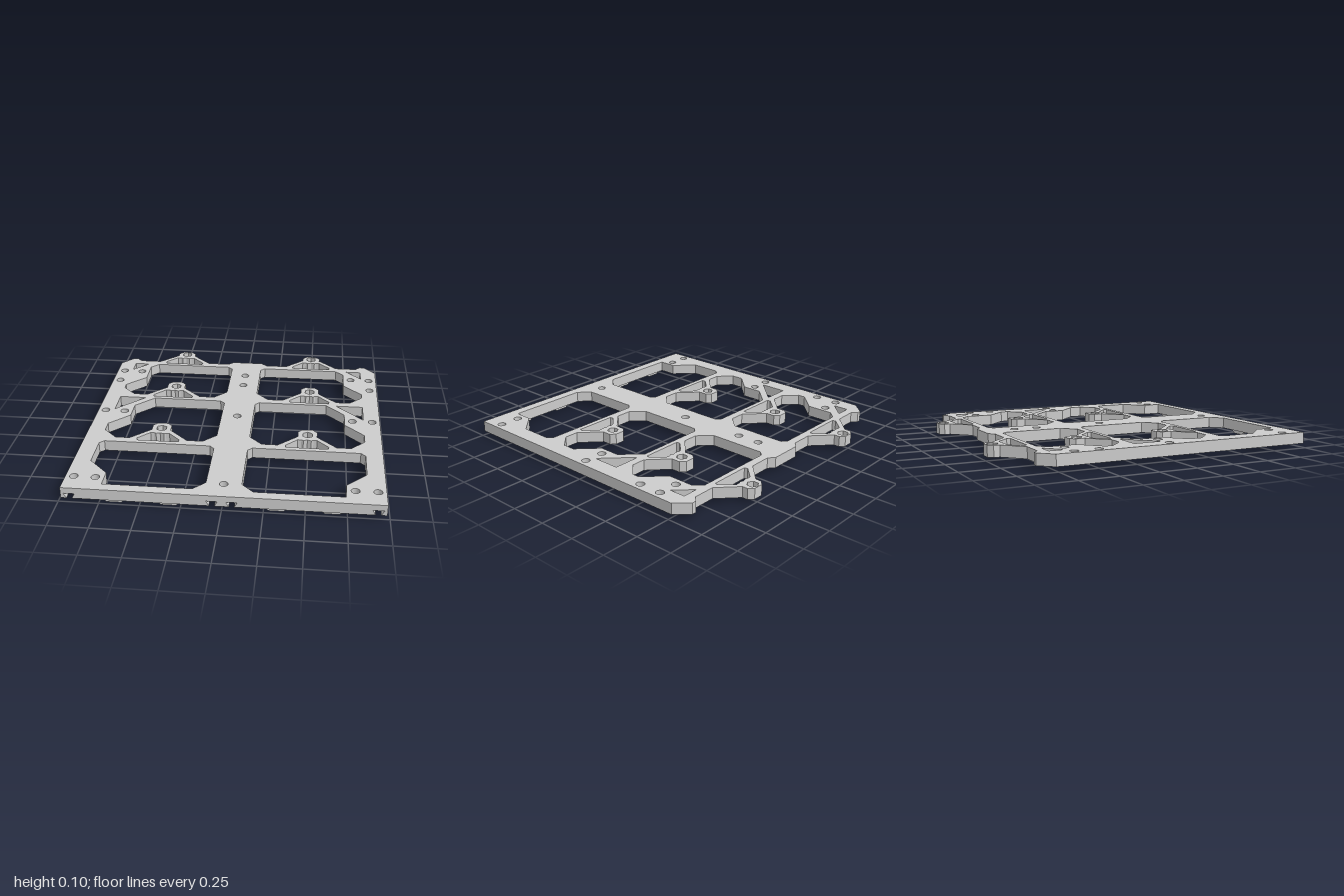
import * as THREE from 'three';

const material = new THREE.MeshStandardMaterial({ color: 0xcccccc, flatShading: true });
const Y0 = 0.027, Y1 = 0.06, Y2 = 0.1; // underside, groove roof, top
const BOSS_X = 0.493;
const BOSS_Z = [-0.957, -0.398, 0.228];
const ROW_Z = [-0.622, -0.463, 0.012, 0.865]; // screw rows
const PAD_Z = [-0.622, 0.012, 0.865];
const GROOVE_END = -0.72;

const mirror = pts => pts.map(([x, z]) => [-x, z]).reverse();

// outer edge of a bracket, from the side rail towards the spine
const bracketEdge = (z, top = 0.067) => [
  [0.192, 0.147], [0.064, 0.025], [0.064, 0.03 - top], [0.034, -top],
  [-0.034, -top], [-0.064, 0.03 - top], [-0.064, 0.025], [-0.192, 0.147],
].map(([dx, dz]) => [BOSS_X + dx, z + dz]);

// window inside a bracket, scalloped under the boss
const bracketWindow = z => [
  [0.138, 0.17], [0.142, 0.147], [0.064, 0.068], [0.04, 0.068], [0.026, 0.075], [0, 0.066],
  [-0.026, 0.075], [-0.04, 0.068], [-0.064, 0.068], [-0.142, 0.147], [-0.138, 0.17],
].map(([dx, dz]) => [BOSS_X + dx, z + dz]);

// openings of the +x half
const openings = [
  [[0.11, -0.725], [0.14, -0.755], [0.685, -0.755], [0.74, -0.7], [0.74, -0.52], [0.87, -0.39],
    [0.87, -0.34], [0.78, -0.251], ...bracketEdge(BOSS_Z[1]), [0.195, -0.251], [0.11, -0.34]],
  [[0.11, -0.167], [0.14, -0.197], [0.615, -0.197], [0.74, -0.072], [0.74, 0.07], [0.87, 0.2],
    [0.87, 0.285], [0.78, 0.375], ...bracketEdge(BOSS_Z[2]), [0.195, 0.375], [0.11, 0.29]],
  [[0.11, 0.461], [0.14, 0.431], [0.84, 0.431], [0.87, 0.461], [0.87, 0.68], [0.74, 0.81],
    [0.74, 0.935], [0.185, 0.935], [0.11, 0.86]],
  [[0.87, -0.755], [0.765, -0.755], [0.87, -0.65]],
  [[0.87, -0.197], [0.685, -0.197], [0.87, -0.012]],
  ...BOSS_Z.map(bracketWindow),
];

// rear and side edge of the +x half, from the side to the spine
const rearEdge = [[0.982, -0.758], [0.9, -0.845], [0.87, -0.845], [0.835, -0.81],
  ...bracketEdge(BOSS_Z[0], 0.043), [0.15, -0.81], [0.11, -0.845]];

const toPoints = pts => pts.map(([x, z]) => new THREE.Vector2(x, -z));

function polygon(x, z, r, sides, turn = 0) {
  return Array.from({ length: sides }, (_, i) => {
    const a = turn + (i / sides) * Math.PI * 2;
    return [x + r * Math.cos(a), z + r * Math.sin(a)];
  });
}

// one horizontal layer of the frame; the outline runs counter-clockwise
function layer(name, frontEdge, holes, y0, y1) {
  const half = [...frontEdge, ...rearEdge];
  const shape = new THREE.Shape(toPoints([...half, ...mirror(half)]));
  for (const h of holes) {
    const points = toPoints(h);
    if (!THREE.ShapeUtils.isClockWise(points)) points.reverse();
    shape.holes.push(new THREE.Path(points));
  }
  const geo = new THREE.ExtrudeGeometry(shape, { depth: y1 - y0, bevelEnabled: false });
  geo.rotateX(-Math.PI / 2).translate(0, y0, 0);
  const mesh = new THREE.Mesh(geo, material);
  mesh.name = name;
  return mesh;
}

// prism with a front-view section, running from z0 to z1
function prism(name, section, z0, z1) {
  const shape = new THREE.Shape(section.map(([x, y]) => new THREE.Vector2(x, y)));
  const geo = new THREE.ExtrudeGeometry(shape, { depth: z1 - z0, bevelEnabled: false });
  const mesh = new THREE.Mesh(geo.translate(0, 0, z0), material);
  mesh.name = name;
  return mesh;
}

export function createModel() {
  const group = new THREE.Group();
  group.name = 'mountingFrame';
  const bothSides = list => list.flatMap(h => [h, mirror(h)]);
  const windows = bothSides(openings);

  // upper layer: screw holes and hexagonal nut pockets
  const upperHoles = [
    ...ROW_Z.map(z => polygon(0, z, 0.027, 24)),
    ...bothSides([
      ...ROW_Z.map(z => polygon(0.93, z, 0.027, 24)),
      ...PAD_Z.map(z => polygon(0.795, z, 0.027, 24)),
      ...BOSS_Z.map(z => polygon(BOSS_X, z, 0.037, 6, Math.PI / 6)),
    ]),
  ];
  group.add(layer('frameTop', [[0.982, 1]], [...windows, ...upperHoles], Y1, Y2));

  // lower layer: slots open to the front, screw head recesses, bolt holes
  const lowerHoles = bothSides([
    ...PAD_Z.map(z => polygon(0.795, z, 0.042, 24)),
    ...BOSS_Z.map(z => polygon(BOSS_X, z, 0.021, 24)),
  ]);
  const slottedFront = [[0.095, GROOVE_END], [0.095, 1], [0.895, 1], [0.895, GROOVE_END],
    [0.965, GROOVE_END], [0.965, 1], [0.982, 1]];
  group.add(layer('frameUnderside', slottedFront, [...windows, ...lowerHoles], Y0, Y1));

  // dovetail lips and spine rib, interrupted at the screws
  const stops = [GROOVE_END, ...ROW_Z.flatMap(z => [z - 0.042, z + 0.042]), 1];
  for (let i = 0; i < stops.length; i += 2) {
    const [z0, z1] = [stops[i], stops[i + 1]];
    group.add(prism('spineRib', [[-0.025, Y0], [0.025, Y0], [0.025, Y1], [-0.025, Y1]], z0, z1));
    for (const x of [-0.93, -0.06, 0.06, 0.93]) {
      for (const s of [-1, 1]) {
        group.add(prism('dovetailLip',
          [[x + s * 0.035, Y0], [x + s * 0.035, Y1], [x + s * 0.016, Y0]], z0, z1));
      }
    }
  }

  // locating tabs under the front bar
  for (const x of [-0.66, -0.325, 0.325, 0.66]) {
    group.add(prism('frontTab',
      [[x - 0.045, 0], [x + 0.045, 0], [x + 0.077, Y0], [x - 0.077, Y0]], 0.963, 0.977));
  }
  return group;
}
